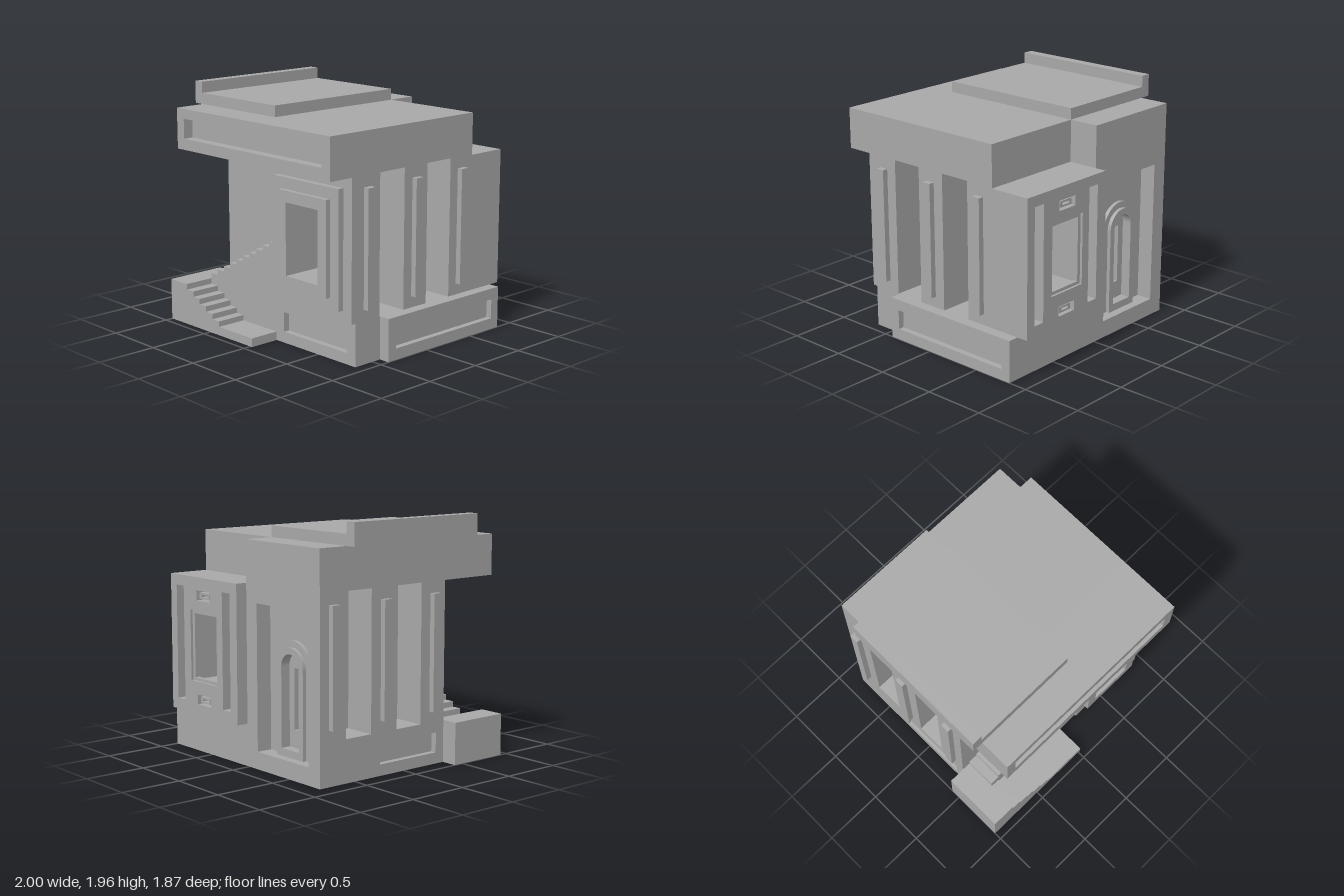
import * as THREE from 'three';

export function createModel() {
  const house = new THREE.Group();
  house.name = 'house';
  const stone = new THREE.MeshStandardMaterial({ color: 0xa8a8a8 });
  stone.name = 'grey stone';

  const add = (name, geometry) => {
    const mesh = new THREE.Mesh(geometry, stone);
    mesh.name = name;
    house.add(mesh);
  };
  // Block given by its limits on each axis
  const box = (name, x0, x1, y0, y1, z0, z1) => add(name,
    new THREE.BoxGeometry(x1 - x0, y1 - y0, z1 - z0)
      .translate((x0 + x1) / 2, (y0 + y1) / 2, (z0 + z1) / 2));

  const trace = (path, [a0, a1, b0, b1]) => path
    .moveTo(a0, b0).lineTo(a1, b0).lineTo(a1, b1).lineTo(a0, b1).closePath();
  // Round-headed outline
  const arch = (path, cx, r, y0, top) => {
    path.moveTo(cx - r, y0).lineTo(cx + r, y0).lineTo(cx + r, top - r);
    path.absarc(cx, top - r, r, 0, Math.PI, false);
    return path.closePath();
  };
  const extrude = (shape, c0, c1) => new THREE.ExtrudeGeometry(shape,
    { depth: c1 - c0, bevelEnabled: false, curveSegments: 16 }).translate(0, 0, c0);
  // Slab in the x-y plane with rectangular holes
  const slabZ = (name, rect, holes, z0, z1) => {
    const shape = trace(new THREE.Shape(), rect);
    holes.forEach(h => shape.holes.push(trace(new THREE.Path(), h)));
    add(name, extrude(shape, z0, z1));
  };
  // Slab in the z-y plane with rectangular holes
  const slabX = (name, rect, holes, x0, x1) => {
    const flip = ([a0, a1, b0, b1]) => [-a1, -a0, b0, b1];
    const shape = trace(new THREE.Shape(), flip(rect));
    holes.forEach(h => shape.holes.push(trace(new THREE.Path(), flip(h))));
    add(name, extrude(shape, x0, x1).rotateY(Math.PI / 2));
  };

  const passage = [0.285, 0.64, 0.605, 1.18];
  const opening = [0.315, 0.61, 0.63, 1.15];

  // Base under the +x half, with sunken panels
  box('base', 0.02, 0.91, 0, 0.34, -0.84, 0.63);
  slabZ('baseFrontPanel', [0.02, 0.91, 0, 0.34], [[0.11, 0.82, 0.09, 0.25]], 0.63, 0.68);
  box('sidePlinth', 0.91, 0.95, 0, 0.34, -0.84, 0.42);
  slabX('sidePlinthPanel', [-0.84, 0.42, 0, 0.34], [[-0.76, 0.34, 0.09, 0.25]], 0.95, 1);

  // Window room with a passage through it and tall side niches
  const room = [0.02, 0.91, 0.34, 1.45];
  slabZ('frontWall', room, [passage], 0.43, 0.72);
  slabZ('rearWall', room, [passage], -0.59, -0.34);
  box('innerWall', 0.02, 0.285, 0.34, 1.45, -0.34, 0.43);
  box('passageFloor', 0.285, 0.64, 0.34, 0.605, -0.34, 0.43);
  box('passageCeiling', 0.285, 0.64, 1.18, 1.45, -0.34, 0.43);
  box('sidePier', 0.64, 0.91, 0.34, 1.45, -0.08, 0.17);

  // Stepped front window surround
  slabZ('outerWindowFrame', [0.11, 0.82, 0.43, 1.36], [passage], 0.72, 0.77);
  slabZ('innerWindowFrame', [0.2, 0.73, 0.52, 1.27], [passage], 0.77, 0.81);

  // Rear bay with its window, slots and vents
  const bay = [0.02, 0.91, 0.34, 1.445];
  const vents = [[0.375, 0.555, 1.26, 1.34], [0.375, 0.555, 0.42, 0.5]];
  slabZ('bayWall', bay, [passage], -0.84, -0.59);
  slabZ('bayFace', bay, [passage, [0.11, 0.21, 0.43, 1.36], [0.73, 0.83, 0.43, 1.36], ...vents],
    -0.935, -0.84);
  slabZ('rearWindowFrame', passage, [opening], -0.915, -0.88);
  vents.forEach(([a0, a1, b0, b1]) => slabZ('ventFrame',
    [a0 + 0.025, a1 - 0.025, b0 + 0.015, b1 - 0.015],
    [[a0 + 0.05, a1 - 0.05, b0 + 0.03, b1 - 0.03]], -0.92, -0.84));

  // Stair hall: side wall with niches, and back wall with the door recess
  const niches = [[-0.59, -0.34, 0.34, 1.45], [-0.08, 0.17, 0.34, 1.45]];
  const side = [-0.71, 0.42, 0, 1.78];
  box('hallCore', -0.6, 0.02, 0, 1.78, -0.59, 0.42);
  slabX('hallSideWall', side, niches, -0.815, -0.6);
  slabX('hallSideFace', side, [...niches, [-0.25, 0.34, 0.09, 0.25]], -0.865, -0.815);
  slabZ('hallBackWall', [-0.865, 0.02, 0, 1.78], [[-0.73, -0.11, 0.14, 1.3]], -0.84, -0.71);

  // Nested arches around the door
  const doorX = -0.425;
  const doorHole = () => arch(new THREE.Path(), doorX, 0.105, 0.2, 0.94);
  const doorWall = trace(new THREE.Shape(), [-0.6, 0.02, 0, 1.78]);
  doorWall.holes.push(doorHole());
  add('doorWall', extrude(doorWall, -0.71, -0.59));
  [[0.2, 1.04, -0.74, -0.71], [0.155, 0.99, -0.77, -0.74]].forEach(([r, top, z0, z1]) => {
    const ring = arch(new THREE.Shape(), doorX, r, 0.14, top);
    ring.holes.push(doorHole());
    add('doorArch', extrude(ring, z0, z1));
  });
  const door = arch(new THREE.Shape(), doorX, 0.105, 0.2, 0.94);
  door.holes.push(trace(new THREE.Path(), [doorX - 0.045, doorX + 0.045, 0.34, 0.82]));
  add('door', extrude(door, -0.69, -0.65));

  // Overhanging upper band with a long sunken panel
  box('upperBand', -0.865, 0.91, 1.45, 1.78, 0.42, 0.85);
  box('upperBlock', 0.02, 0.91, 1.45, 1.78, -0.59, 0.42);
  slabZ('upperBandPanel', [-0.865, 0.91, 1.45, 1.78], [[-0.78, 0.82, 1.54, 1.7]], 0.85, 0.935);

  // Roof slab and its raised edge
  box('roofSlab', -0.87, 0.02, 1.78, 1.87, -0.59, 0.675);
  box('roofEdge', -0.955, -0.87, 1.78, 1.96, -0.59, 0.675);

  // Side pilasters, the -x row set further back
  for (let i = 0; i < 3; i++) {
    const z = 0.52 - i * 0.51;
    box('pilaster', 0.91, 0.955, 0.43, 1.36, z, z + 0.075);
    box('pilaster', -0.91, -0.865, 0.43, 1.36, z - 0.255, z - 0.18);
  }

  // Two stair flights, each one solid stepped profile, and the landing
  const run = 0.081, rise = 0.0447;
  box('landing', -1, -0.79, 0, 0.34, 0.42, 0.935);
  const upper = new THREE.Shape().moveTo(0.02, 0).lineTo(0.02, 0.785);
  for (let i = 9; i >= 0; i--) {
    upper.lineTo(-0.79 + run * i, 0.34 + rise * (i + 1));
    upper.lineTo(-0.79 + run * i, 0.34 + rise * i);
  }
  upper.lineTo(-0.79, 0);
  add('upperStairs', extrude(upper, 0.42, 0.68));

  const lower = new THREE.Shape().moveTo(0.02, 0).lineTo(0.02, 0.07);
  for (let i = 0; i < 6; i++) {
    lower.lineTo(-0.385 - run * i, 0.07 + rise * i);
    lower.lineTo(-0.385 - run * i, 0.07 + rise * (i + 1));
  }
  lower.lineTo(-0.79, 0);
  add('lowerStairs', extrude(lower, 0.68, 0.935));

  return house;
}
